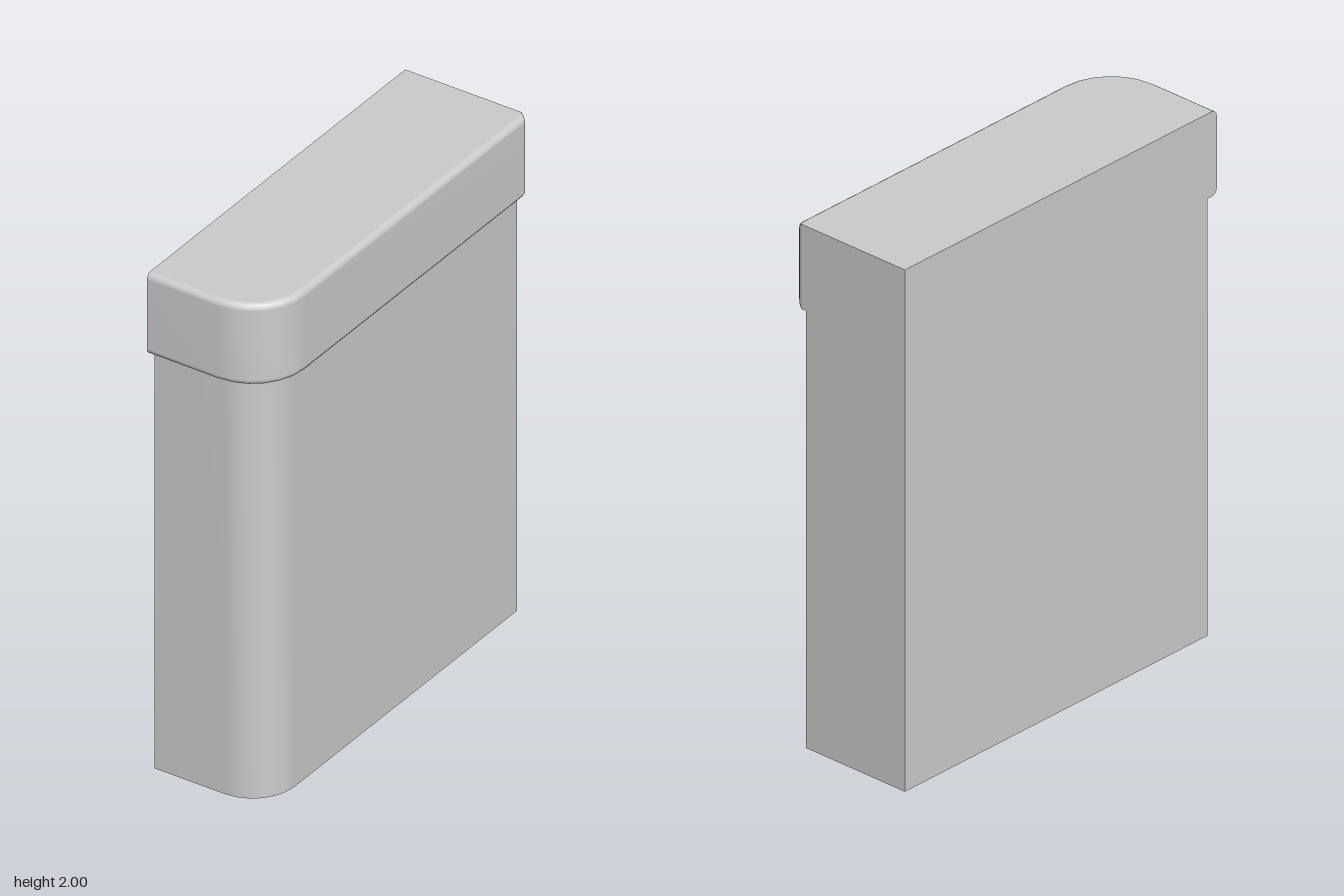
import * as THREE from 'three';

const LEFT = -0.25, BACK = -0.77, RIGHT = 0.205, FRONT = 0.73, RADIUS = 0.17;
const LID_BOTTOM = 1.675, TOP = 2, OVERHANG = 0.045, BEVEL = 0.025;

// Plan outline from the front-left edge, round the front corner, to the back-right edge
function outline(offset, y) {
  const pts = [new THREE.Vector3(LEFT, y, FRONT + offset)];
  const r = RADIUS + offset;
  for (let i = 0; i <= 6; i++) {
    const a = (i / 6) * Math.PI / 2;
    pts.push(new THREE.Vector3(RIGHT - RADIUS + r * Math.sin(a), y, FRONT - RADIUS + r * Math.cos(a)));
  }
  // small rounding where the overhang meets the flat back
  const endX = Math.min(RIGHT + offset, RIGHT + OVERHANG - BEVEL);
  const round = RIGHT + offset - endX;
  for (let i = 0; i <= 3; i++) {
    const a = (i / 3) * Math.PI / 2;
    pts.push(new THREE.Vector3(endX + round * Math.cos(a), y, BACK + BEVEL * (1 - Math.sin(a))));
  }
  return pts;
}

function toGeometry(points, index) {
  const g = new THREE.BufferGeometry().setFromPoints(points);
  g.setIndex(index);
  g.computeVertexNormals();
  return g;
}

// Smooth skin through stacked outlines, optionally closed on top
function skin(rings, capped) {
  const n = rings[0].length, points = rings.flat(), index = [];
  for (let j = 0; j < rings.length - 1; j++) {
    for (let i = 0; i < n - 1; i++) {
      const a = j * n + i, d = a + n;
      index.push(a, a + 1, d, a + 1, d + 1, d);
    }
  }
  if (capped) {
    const start = (rings.length - 1) * n, corner = points.length;
    points.push(new THREE.Vector3(LEFT, TOP, BACK));
    for (let i = 0; i < n - 1; i++) index.push(corner, start + i, start + i + 1);
  }
  return toGeometry(points, index);
}

// Flat convex panel
function panel(points) {
  const index = [];
  for (let i = 1; i < points.length - 1; i++) index.push(0, i, i + 1);
  return toGeometry(points, index);
}

export function createModel() {
  const model = new THREE.Group();
  const grey = new THREE.MeshStandardMaterial({ color: 0xcccccc, side: THREE.DoubleSide });
  grey.name = 'light grey';

  // Left and back sides are flat cut faces; the body is open underneath
  function addPart(name, rings, capped) {
    const group = new THREE.Group();
    group.name = name;
    const add = (label, geometry) => {
      const mesh = new THREE.Mesh(geometry, grey);
      mesh.name = name + label;
      group.add(mesh);
    };
    const y0 = rings[0][0].y, y1 = rings[rings.length - 1][0].y;
    const low = new THREE.Vector3(LEFT, y0, BACK), high = new THREE.Vector3(LEFT, y1, BACK);
    add('Skin', skin(rings, capped));
    add('LeftFace', panel([low, ...rings.map(r => r[0]), high]));
    add('BackFace', panel([low, high, ...rings.map(r => r[r.length - 1]).reverse()]));
    model.add(group);
  }

  // Straight body
  addPart('body', [outline(0, 0), outline(0, LID_BOTTOM)], false);

  // Overhanging lid with rounded lower and upper edges
  const lid = [outline(0, LID_BOTTOM)];
  const inner = OVERHANG - BEVEL;
  for (let i = 0; i <= 4; i++) {
    const a = (i / 4) * Math.PI / 2;
    lid.push(outline(inner + BEVEL * Math.sin(a), LID_BOTTOM + BEVEL * (1 - Math.cos(a))));
  }
  for (let i = 0; i <= 4; i++) {
    const a = (i / 4) * Math.PI / 2;
    lid.push(outline(inner + BEVEL * Math.cos(a), TOP - BEVEL * (1 - Math.sin(a))));
  }
  addPart('lid', lid, true);

  return model;
}
